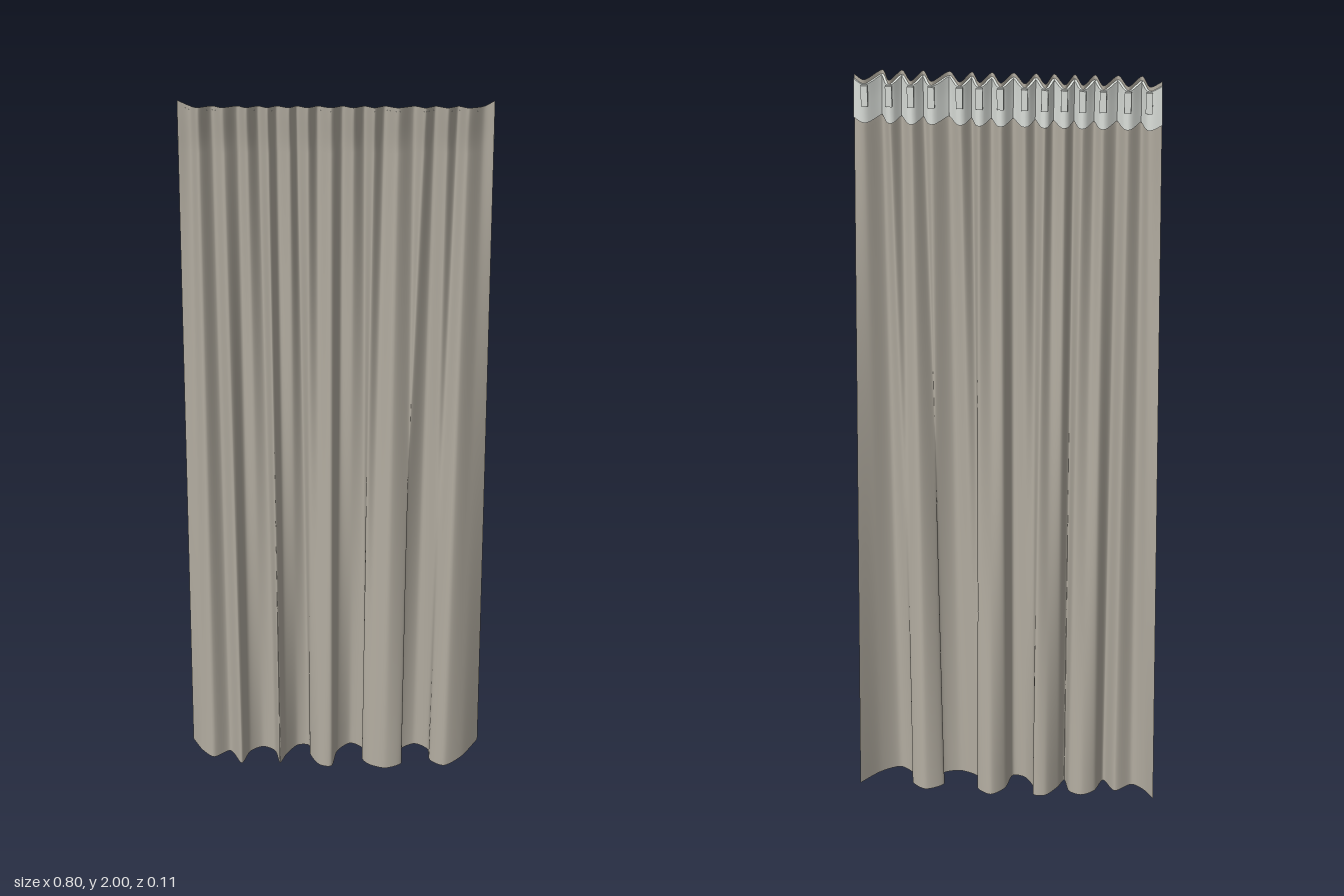
import * as THREE from 'three';
import { mergeGeometries } from 'three/addons/utils/BufferGeometryUtils.js';

// One entry per fold, from the model's right to left: [x at top, x at hem, z at hem].
// Inner entries alternate between back valleys (odd) and front pleats (even).
const folds = [
  [-0.362, -0.402, -0.055], [-0.333, -0.375, -0.012], [-0.313, -0.34, 0.015],
  [-0.283, -0.295, -0.015], [-0.257, -0.262, 0.035], [-0.225, -0.24, -0.015],
  [-0.203, -0.205, -0.037], [-0.177, -0.17, -0.02], [-0.155, -0.155, 0.03],
  [-0.134, -0.138, -0.005], [-0.106, -0.108, -0.045], [-0.088, -0.075, -0.045],
  [-0.063, -0.07, -0.005], [-0.04, -0.045, 0.035], [-0.01, -0.01, 0.04],
  [0.017, 0.005, -0.02], [0.041, 0.042, -0.055], [0.067, 0.08, -0.03],
  [0.089, 0.075, 0.01], [0.114, 0.095, 0.035], [0.143, 0.14, 0.05],
  [0.181, 0.185, 0.03], [0.205, 0.175, -0.02], [0.23, 0.222, -0.05],
  [0.256, 0.26, -0.025], [0.282, 0.265, 0.02], [0.303, 0.305, 0.045],
  [0.34, 0.355, 0.01], [0.365, 0.402, -0.055],
];
const last = folds.length - 1;
const COLS = last * 7;

// Horizontal section of the cloth at height h (0 hem, 1 top edge)
function section(h) {
  const lean = THREE.MathUtils.smoothstep(h, 0.94, 1);
  const pts = folds.map(([xt, xb, zb], i) => {
    const end = i === 0 || i === last;
    const valley = i % 2 === 1;
    const zt = end ? 0.005 : valley ? 0.005 * lean : 0.034 + 0.012 * lean;
    // hem lifts toward the sides, top edge dips in the valleys
    const low = 0.005 + 0.015 * Math.pow(Math.abs(xb) / 0.4, 3);
    const high = valley ? 1.986 : 2;
    return new THREE.Vector3(
      THREE.MathUtils.lerp(xb, xt, h),
      THREE.MathUtils.lerp(low, high, h),
      THREE.MathUtils.lerp(zb, zt, h)
    );
  });
  const curve = new THREE.CatmullRomCurve3(pts, false, 'catmullrom', 0.4);
  return curve.getPoints(COLS);
}

// Push a section backward along its own normal
function offset(row, d) {
  return row.map((p, i) => {
    const a = row[Math.max(i - 1, 0)], b = row[Math.min(i + 1, row.length - 1)];
    const dx = b.x - a.x, dz = b.z - a.z, len = Math.hypot(dx, dz) || 1;
    return new THREE.Vector3(p.x + (dz / len) * d, p.y, p.z - (dx / len) * d);
  });
}

// Skin a list of sections (bottom to top), facing the front
function skin(rows) {
  const n = rows[0].length, pos = [], idx = [];
  rows.forEach(r => r.forEach(p => pos.push(p.x, p.y, p.z)));
  for (let j = 0; j < rows.length - 1; j++) {
    for (let i = 0; i < n - 1; i++) {
      const a = j * n + i, b = a + 1, c = a + n, d = c + 1;
      idx.push(a, b, d, a, d, c);
    }
  }
  const g = new THREE.BufferGeometry();
  g.setAttribute('position', new THREE.Float32BufferAttribute(pos, 3));
  g.setIndex(idx);
  g.computeVertexNormals();
  return g;
}

export function createModel() {
  const group = new THREE.Group();
  group.name = 'curtain';
  const fabric = new THREE.MeshStandardMaterial({ color: 0xb3ada1, side: THREE.DoubleSide });
  fabric.name = 'warm grey fabric';
  const tapeMat = new THREE.MeshStandardMaterial({ color: 0xd9ddd8, side: THREE.DoubleSide });
  tapeMat.name = 'pale tape';

  // Pleated cloth, closer rows near the leaning heading
  const heights = [];
  for (let i = 0; i <= 24; i++) heights.push(0.94 * i / 24);
  for (let i = 1; i <= 6; i++) heights.push(0.94 + 0.06 * i / 6);
  const cloth = new THREE.Mesh(skin(heights.map(section)), fabric);
  cloth.name = 'cloth';
  group.add(cloth);

  // Heading tape along the back: wall plus closing strips above and below
  const tapeRows = [0.948, 0.96, 0.972, 0.984, 0.995].map(section);
  const back = tapeRows.map(r => offset(r, 0.006));
  const tape = new THREE.Mesh(mergeGeometries([
    skin(back),
    skin([back[4], tapeRows[4]]),
    skin([tapeRows[0], back[0]]),
  ]), tapeMat);
  tape.name = 'headingTape';
  group.add(tape);

  // Hook pockets in every back valley
  for (let i = 1; i < last; i += 2) {
    const pocket = new THREE.Mesh(new THREE.BoxGeometry(0.016, 0.05, 0.008), tapeMat);
    pocket.name = 'hookPocket';
    pocket.position.set(folds[i][0], 1.95, -0.006);
    group.add(pocket);
  }
  return group;
}
